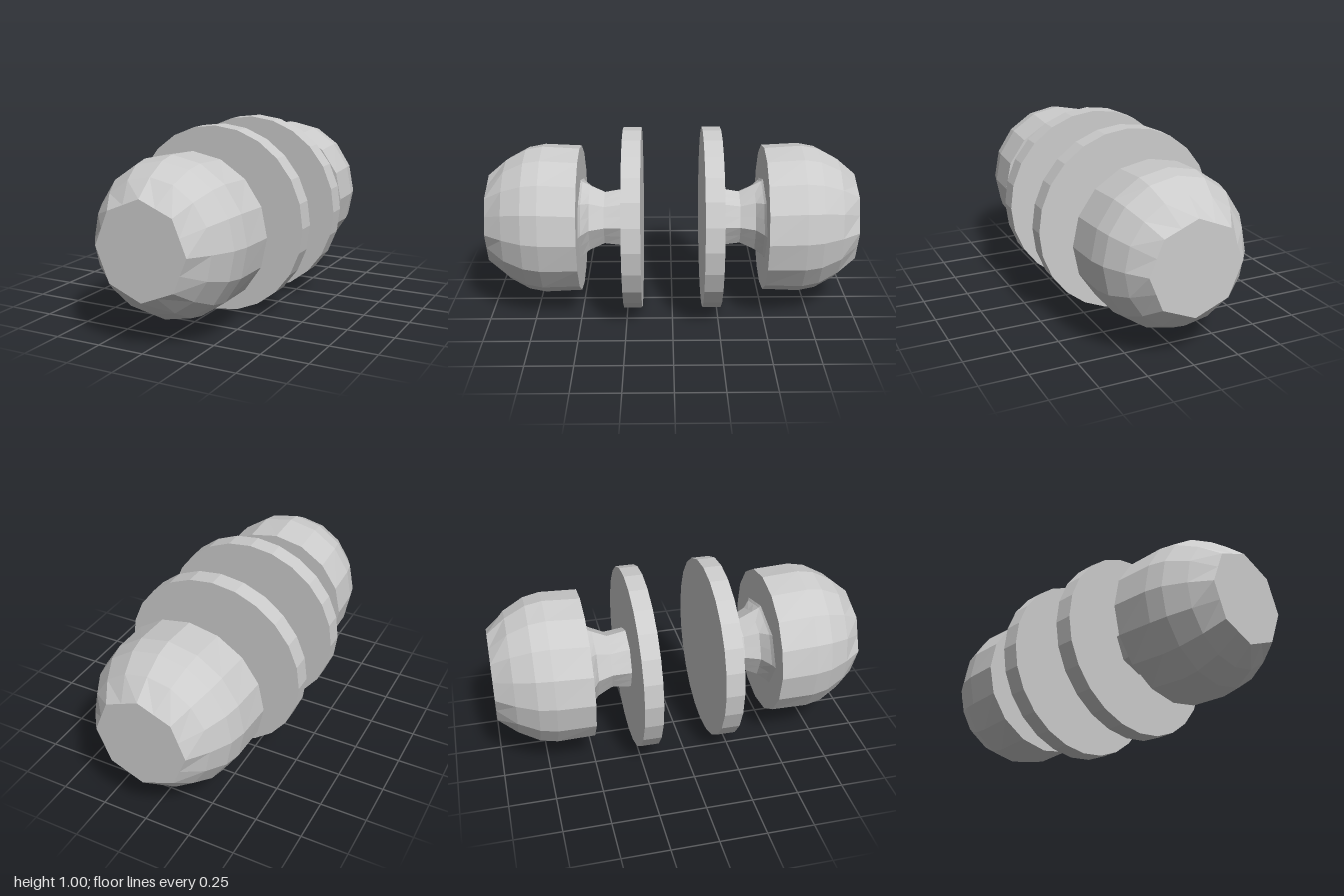
import * as THREE from 'three';

const SIDES = 16;

// Faceted loft along +z. Each ring: [z, half width, half height, octagonal?]
function loft(rings) {
  const geo = new THREE.LatheGeometry(rings.map(([z]) => new THREE.Vector2(1, z)), SIDES);
  const pos = geo.attributes.position;
  for (let i = 0; i <= SIDES; i++) {
    rings.forEach(([, w, h, octagon], j) => {
      const k = i * rings.length + j;
      // Odd corners sit on the edge midpoints of octagonal rings
      const s = octagon && i % 2 ? Math.cos(Math.PI / 8) : 1;
      pos.setX(k, pos.getX(k) * w * s);
      pos.setZ(k, pos.getZ(k) * h * s);
    });
  }
  geo.rotateX(Math.PI / 2);
  geo.computeVertexNormals();
  return geo;
}

export function createModel() {
  const model = new THREE.Group();
  model.name = 'doorKnobPair';
  const material = new THREE.MeshStandardMaterial({ color: 0xcccccc, flatShading: true });

  // Round backing plate
  const plateGeo = new THREE.CylinderGeometry(0.5, 0.5, 0.1, 24);
  plateGeo.rotateX(Math.PI / 2);
  plateGeo.translate(0, 0, 0.215);

  // Neck flaring out towards the back of the knob
  const neckGeo = loft([
    [0.26, 0.165, 0.17, true],
    [0.37, 0.165, 0.15, true],
    [0.45, 0.2, 0.19, true],
    [0.49, 0.27, 0.21, true],
    [0.5, 0.3, 0.22, true],
  ]);

  // Rounded grip with a flat back and an octagonal flat front
  const gripGeo = loft([
    [0.5, 0, 0, false],
    [0.5, 0.413, 0.4, false],
    [0.7, 0.405, 0.412, false],
    [0.79, 0.385, 0.395, false],
    [0.9, 0.325, 0.335, false],
    [1, 0.25, 0.25, true],
    [1, 0, 0, true],
  ]);

  // One knob on each side of the door
  for (const [name, turn] of [['frontKnob', 0], ['backKnob', Math.PI]]) {
    const knob = new THREE.Group();
    knob.name = name;
    for (const [part, geo] of [['plate', plateGeo], ['neck', neckGeo], ['grip', gripGeo]]) {
      const mesh = new THREE.Mesh(geo, material);
      mesh.name = part;
      knob.add(mesh);
    }
    knob.rotation.y = turn;
    knob.position.y = 0.5;
    model.add(knob);
  }
  return model;
}
